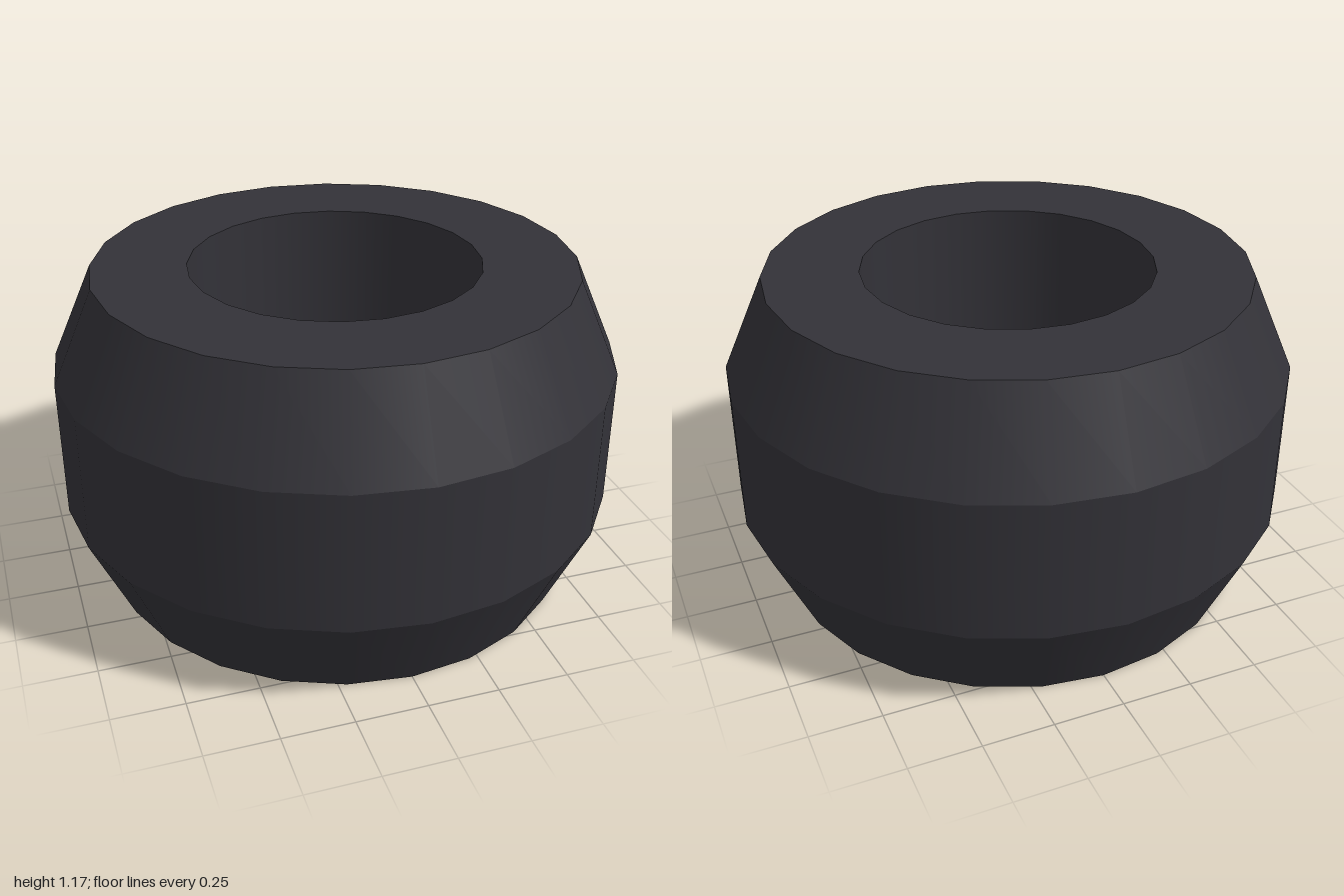
import * as THREE from 'three';
import { mergeGeometries } from 'three/addons/utils/BufferGeometryUtils.js';

const SIDES = 24;

// Closed ring cross-section (radius, height): up the outside, down the bore
const PROFILE = [
  [0.85, 0], [1, 0.335], [1, 0.835], [0.85, 1.17],
  [0.515, 1.17], [0.515, 0],
];

// One band per profile edge: smooth around the axis, sharp between bands
function ringGeometry(profile) {
  const bands = profile.map((p, i) => {
    const q = profile[(i + 1) % profile.length];
    return new THREE.LatheGeometry([new THREE.Vector2(...p), new THREE.Vector2(...q)], SIDES);
  });
  return mergeGeometries(bands);
}

export function createModel() {
  const group = new THREE.Group();
  group.name = 'wheelTyre';

  // Dark tyre with bevelled shoulders and a straight bore
  const tyre = new THREE.Mesh(
    ringGeometry(PROFILE),
    new THREE.MeshStandardMaterial({ color: 0x333238 })
  );
  tyre.name = 'tyre';
  group.add(tyre);

  return group;
}
